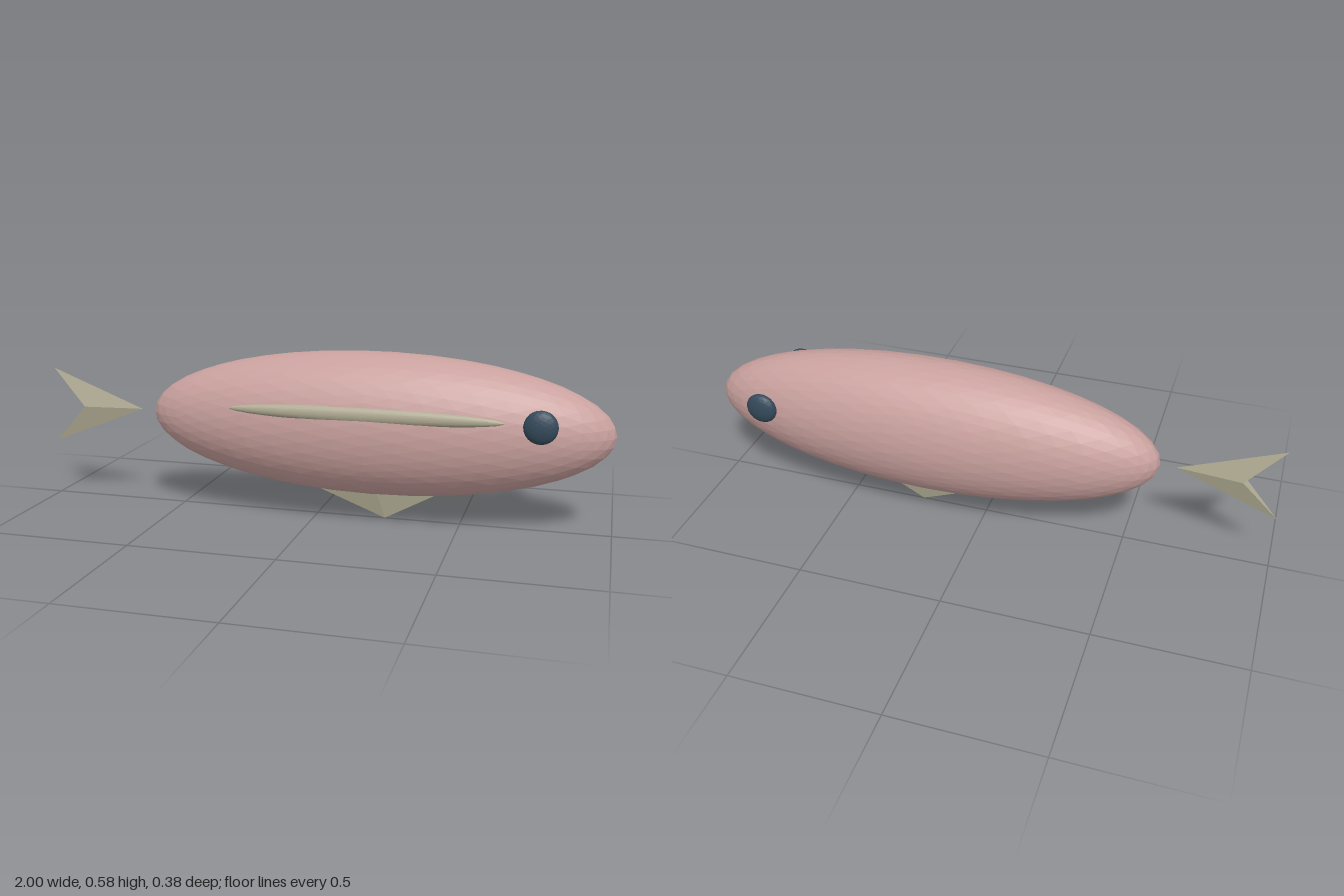
import * as THREE from 'three';

const paint = (name, color) => {
  const m = new THREE.MeshStandardMaterial({ color, flatShading: true });
  m.name = name;
  return m;
};

// Faceted ellipsoid
function ellipsoid(name, material, detail, radii, position) {
  const geo = new THREE.IcosahedronGeometry(1, detail);
  geo.scale(...radii);
  const mesh = new THREE.Mesh(geo, material);
  mesh.name = name;
  mesh.position.set(...position);
  return mesh;
}

// Arrow-shaped fin in the xy plane: tip, two wing points and a notch thickened along z.
// Points run tip, wingA, wingB counter-clockwise seen from +z.
function arrowFin(name, material, tip, wingA, wingB, notch, half) {
  const t = [...tip, 0], a = [...wingA, 0], b = [...wingB, 0];
  const f = [...notch, half], k = [...notch, -half];
  const faces = [
    t, a, f, t, f, b, // front
    t, k, a, t, b, k, // back
    a, k, f, b, f, k, // notch walls
  ];
  const geo = new THREE.BufferGeometry();
  geo.setAttribute('position', new THREE.Float32BufferAttribute(faces.flat(), 3));
  geo.computeVertexNormals();
  const mesh = new THREE.Mesh(geo, material);
  mesh.name = name;
  return mesh;
}

export function createModel() {
  const model = new THREE.Group();
  model.name = 'fish';
  const skin = paint('dusty pink', 0xc9a19e);
  const finTone = paint('khaki', 0xb0ab93);
  finTone.side = THREE.DoubleSide;
  const eyeTone = paint('slate blue', 0x34495a);

  // Body
  model.add(ellipsoid('body', skin, 7, [0.8, 0.246, 0.19], [0.198, 0.335, 0]));

  // Long side fin, on the front side only
  model.add(ellipsoid('sideFin', finTone, 5, [0.46, 0.027, 0.019], [0.195, 0.397, 0.171]));

  // Eyes
  for (const s of [1, -1]) {
    model.add(ellipsoid(s > 0 ? 'frontEye' : 'backEye', eyeTone, 3,
      [0.055, 0.055, 0.026], [0.765, 0.39, s * 0.165]));
  }

  // Tail and belly fin
  model.add(arrowFin('tail', finTone, [-0.655, 0.335], [-1, 0.47], [-1, 0.2], [-0.875, 0.335], 0.02));
  model.add(arrowFin('bellyFin', finTone, [0.24, 0], [0.44, 0.108], [-0.04, 0.108], [0.21, 0.108], 0.024));

  return model;
}
